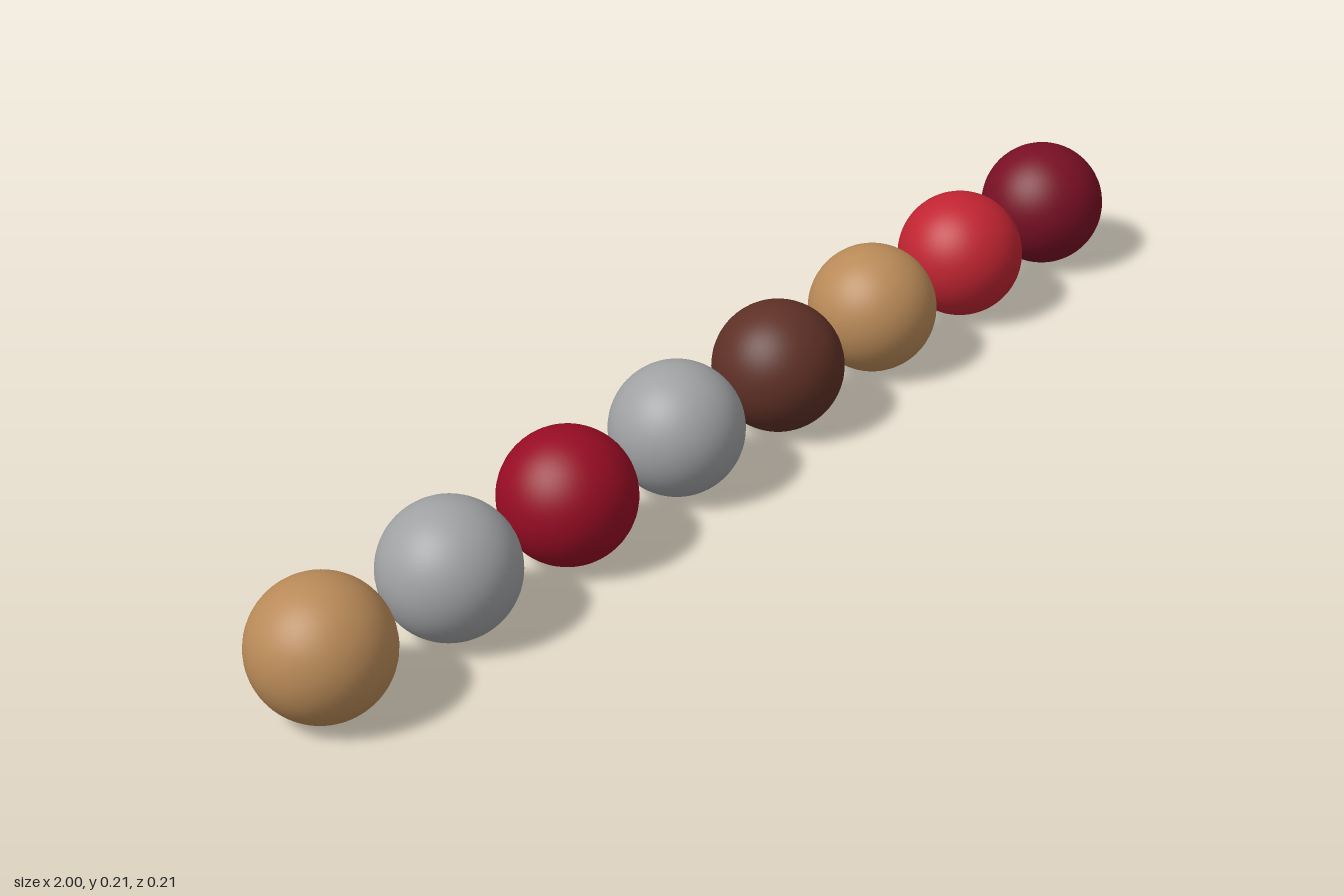
import * as THREE from 'three';

const RADIUS = 0.1026;
const SPACING = 0.2564;

export function createModel() {
  const paint = (name, color) => {
    const m = new THREE.MeshStandardMaterial({ color });
    m.name = name;
    return m;
  };
  const tan = paint('tan', 0xb98a58);
  const silver = paint('silver', 0xa0a1a3);
  const crimson = paint('crimson', 0x960c24);
  const brown = paint('brown', 0x5e3026);
  const red = paint('red', 0xc02431);
  const maroon = paint('maroon', 0x780f24);

  // Row of separate balls, running from the model's right (-x) to its left (+x)
  const row = [tan, silver, crimson, silver, brown, tan, red, maroon];
  const ball = new THREE.SphereGeometry(RADIUS, 48, 32);
  const group = new THREE.Group();
  group.name = 'ballRow';
  row.forEach((material, i) => {
    const mesh = new THREE.Mesh(ball, material);
    mesh.name = `${material.name}Ball${i + 1}`;
    mesh.position.set((i - (row.length - 1) / 2) * SPACING, RADIUS, 0);
    group.add(mesh);
  });
  return group;
}
